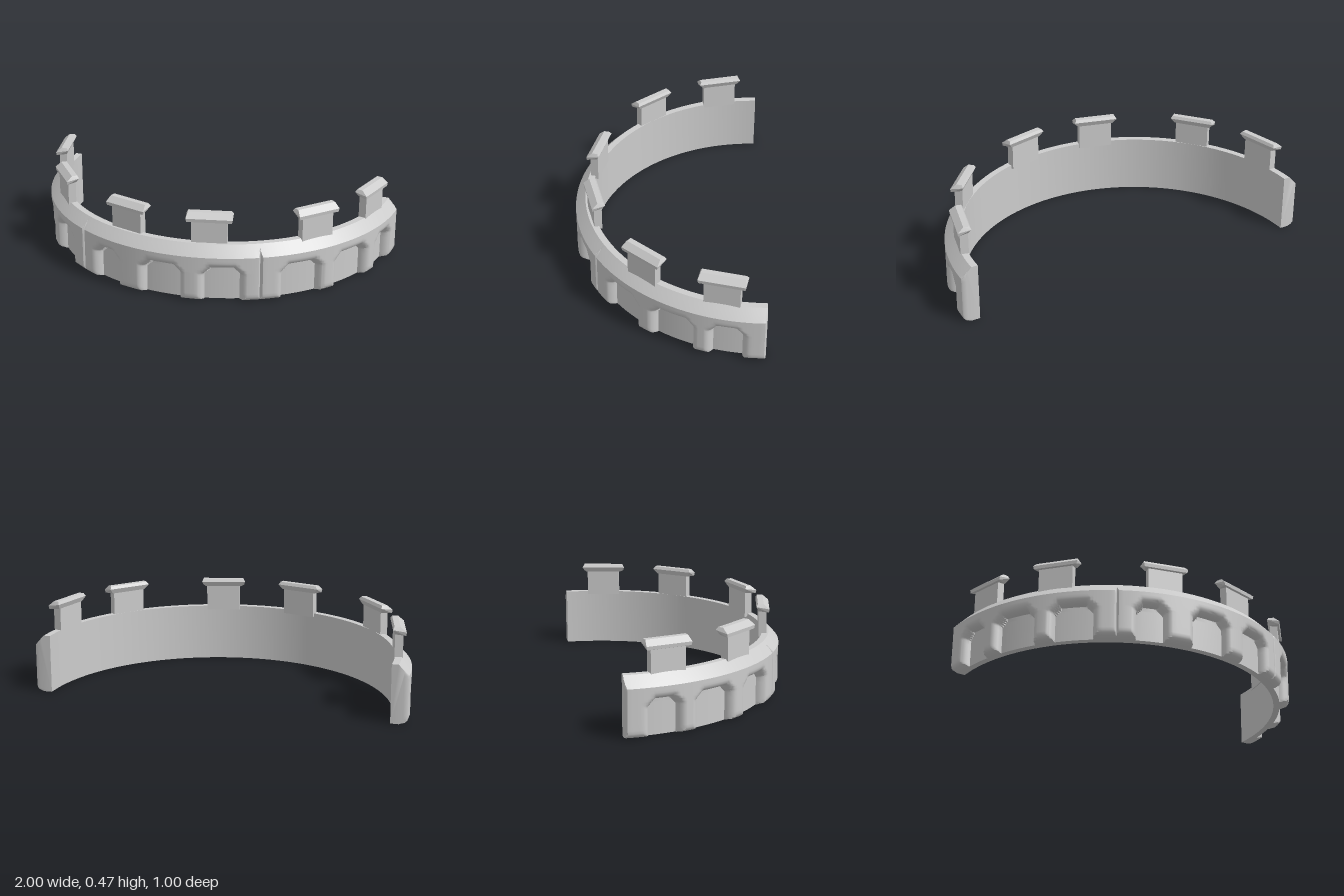
import * as THREE from 'three';
import { toCreasedNormals } from 'three/addons/utils/BufferGeometryUtils.js';
import { ConvexGeometry } from 'three/addons/geometries/ConvexGeometry.js';

const RAD = Math.PI / 180;
const INNER = 0.912, FLOOR = 0.947, DEPTH = 0.053, TOP = 0.308, CENTRE_Z = -0.5;
const ROWS = [TOP, 0.29, 0.27, 0.252, 0.235, 0.222, 0.21, 0.2, 0.193, 0.188, 0.186, 0.185,
  0.178, 0.17, 0.162, 0.154, 0.145, 0.12, 0.08, 0.045, 0.03, 0.018, 0.008, 0];

const material = new THREE.MeshStandardMaterial({ color: 0xcccccc, side: THREE.DoubleSide });

// Quarter-round rise from 0 to 1 over the given width
function round(d, width) {
  const k = 1 - Math.min(Math.max(d / width, 0), 1);
  return Math.sqrt(1 - k * k);
}

// Outer radius of the wall at an angle (degrees) and height
function outerRadius(t, y, start, end, arches) {
  let rise = Math.min(1, (TOP - y) / 0.055);                     // sloping top edge
  rise = Math.min(rise, 0.15 + 0.85 * round(y, 0.032));          // rounded foot
  const toEnd = Math.min(t - start, end - t) * RAD;
  rise = Math.min(rise, 0.55 + 0.45 * round(toEnd, 0.014));      // joint between sections
  for (const [a, b] of arches) {
    const dx = (Math.abs(t - (a + b) / 2) - (b - a) / 2) * RAD;
    const dy = y - 0.185;
    const corner = (dx + dy + 0.035) * Math.SQRT1_2;
    const d = dx > 0 && dy > 0 ? Math.max(Math.hypot(dx, dy), corner) : Math.max(dx, dy, corner);
    rise = Math.min(rise, round(d, 0.036));
  }
  return FLOOR + DEPTH * rise;
}

// Curved wall section with open-bottomed arched recesses
function wallSection(start, end, arches) {
  const angles = new Set();
  for (let t = start; t <= end; t += 2) angles.add(t);
  for (const o of [0.25, 0.6, 1]) angles.add(start + o).add(end - o);
  for (const [a, b] of arches) {
    for (const o of [-2.1, -1.4, -0.8, -0.3, -0.06, 0, 0.5, 1, 1.5, 2]) angles.add(a + o).add(b - o);
  }
  const columns = [...angles].filter(t => t >= start && t <= end).sort((p, q) => p - q);
  const n = ROWS.length + 2, last = (columns.length - 1) * n;
  const positions = [], index = [];
  columns.forEach((t, i) => {
    const s = Math.sin(t * RAD), c = Math.cos(t * RAD);
    const profile = [[INNER, 0], [INNER, TOP]];
    for (const y of ROWS) profile.push([outerRadius(t, y, start, end, arches), y]);
    for (const [r, y] of profile) positions.push(r * s, y, r * c + CENTRE_Z);
    if (i === columns.length - 1) return;
    for (let j = 0; j < n; j++) {
      const a = i * n + j, b = i * n + (j + 1) % n;
      index.push(a, b, b + n, a, b + n, a + n);
    }
  });
  for (let j = 1; j < n - 1; j++) {
    index.push(0, j + 1, j, last, last + j, last + j + 1);
  }
  const geometry = new THREE.BufferGeometry();
  geometry.setAttribute('position', new THREE.Float32BufferAttribute(positions, 3));
  geometry.setIndex(index);
  return new THREE.Mesh(toCreasedNormals(geometry, 0.6), material);
}

// Upright block with an overhanging bevelled cap that slopes outwards
function merlon(angle, radius) {
  const group = new THREE.Group();
  const body = new THREE.Mesh(new THREE.BoxGeometry(0.185, 0.15, 0.042), material);
  body.name = 'merlonBody';
  body.position.y = 0.365;
  const points = [];
  // half length, height, depth
  for (const [x, y, z] of [
    [0.1, 0.428, -0.022], [0.121, 0.455, -0.034], [0.112, 0.47, -0.026],
    [0.112, 0.47, 0.004], [0.121, 0.443, 0.035], [0.117, 0.425, 0.033], [0.1, 0.422, 0.024],
  ]) {
    points.push(new THREE.Vector3(x, y, z), new THREE.Vector3(-x, y, z));
  }
  const cap = new THREE.Mesh(toCreasedNormals(new ConvexGeometry(points), 0.5), material);
  cap.name = 'merlonCap';
  group.add(body, cap);
  group.rotation.y = angle * RAD;
  group.position.set(radius * Math.sin(angle * RAD), 0, radius * Math.cos(angle * RAD) + CENTRE_Z);
  return group;
}

export function createModel() {
  const model = new THREE.Group();
  model.name = 'curvedBattlement';

  const centre = wallSection(-30, 30, [[-24, -15.5], [-6, 5.5], [13, 24]]);
  centre.name = 'centreWall';
  const sideArches = [[37, 49], [55.5, 68], [74, 83]];
  const left = wallSection(30, 90, sideArches);
  left.name = 'leftWall';
  const right = wallSection(-90, -30, sideArches.map(([a, b]) => [-b, -a]));
  right.name = 'rightWall';
  model.add(centre, left, right);

  // Three merlons on each side
  for (const side of [1, -1]) {
    [[14.3, 0.912], [49.3, 0.934], [76.3, 0.927]].forEach(([angle, radius], i) => {
      const block = merlon(side * angle, radius);
      block.name = (side > 0 ? 'left' : 'right') + 'Merlon' + (i + 1);
      model.add(block);
    });
  }
  return model;
}
